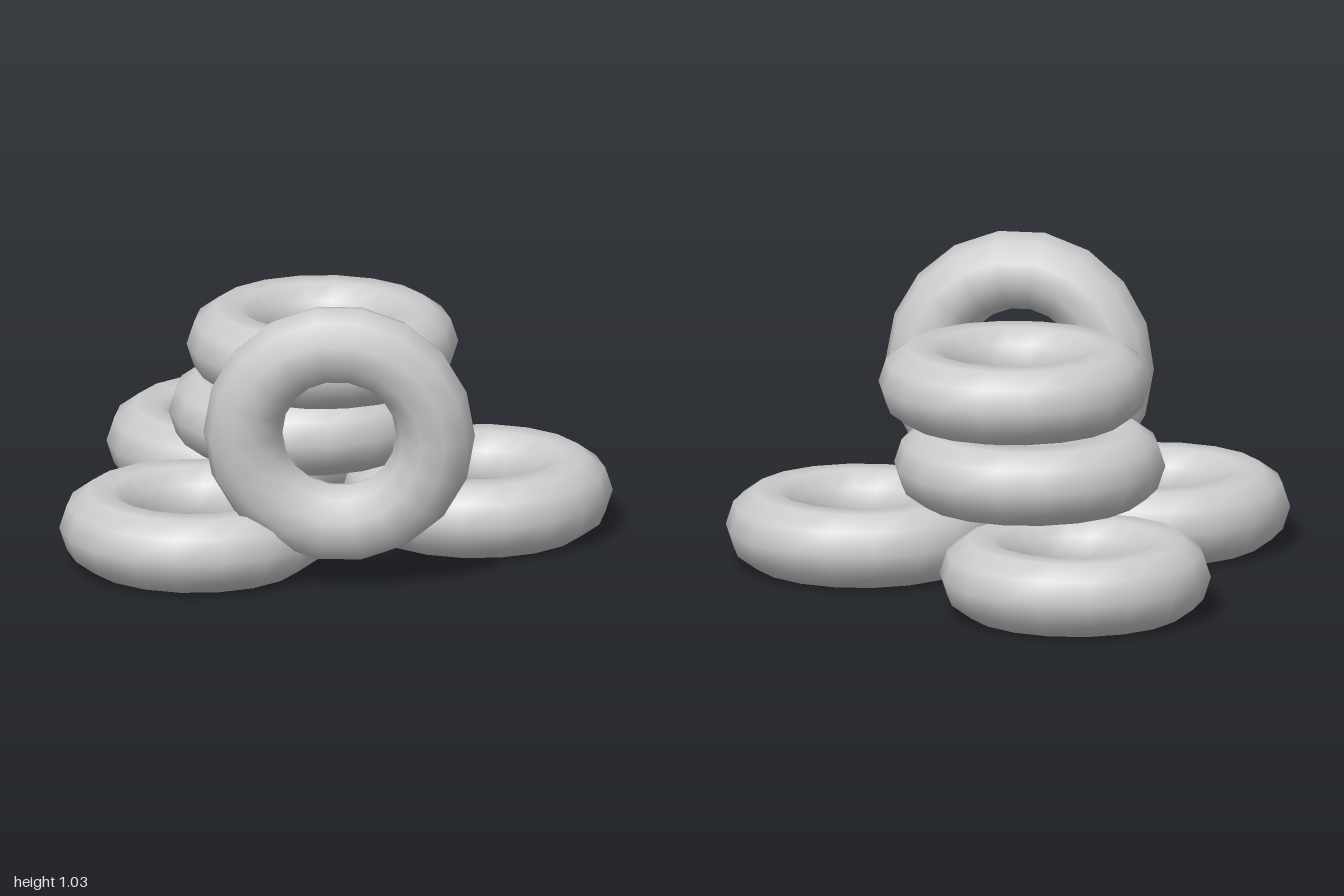
import * as THREE from 'three';

export function createModel() {
  const model = new THREE.Group();
  const grey = new THREE.MeshStandardMaterial({ color: 0xcccccc });
  grey.name = 'plain grey';

  // One ring lying flat, its axis along y
  const ringGeometry = new THREE.TorusGeometry(0.339, 0.139, 10, 18).rotateX(Math.PI / 2);

  function addRing(name, x, y, z) {
    const ring = new THREE.Mesh(ringGeometry, grey);
    ring.name = name;
    ring.position.set(x, y, z);
    model.add(ring);
    return ring;
  }

  // Three rings on the ground
  addRing('backLeftRing', 0.522, 0.132, -0.473);
  addRing('backRightRing', -0.522, 0.132, -0.473);
  addRing('frontRing', 0, 0.132, 0.471);

  // Two rings stacked on top of them
  addRing('middleRing', -0.027, 0.4, -0.19);
  addRing('topRing', 0.075, 0.67, -0.163);

  // Upright ring leaning outwards beside the stack
  const leaning = addRing('leaningRing', 0.573, 0.557, 0.383);
  leaning.rotation.order = 'YXZ';
  leaning.rotation.set(Math.PI / 2 + 0.09, 0.603, 0);

  // Thin disc under the hole of the middle ring
  const disc = new THREE.Mesh(new THREE.CylinderGeometry(0.195, 0.195, 0.004, 32), grey);
  disc.name = 'thinDisc';
  disc.position.set(-0.034, 0.269, -0.194);
  model.add(disc);

  return model;
}
